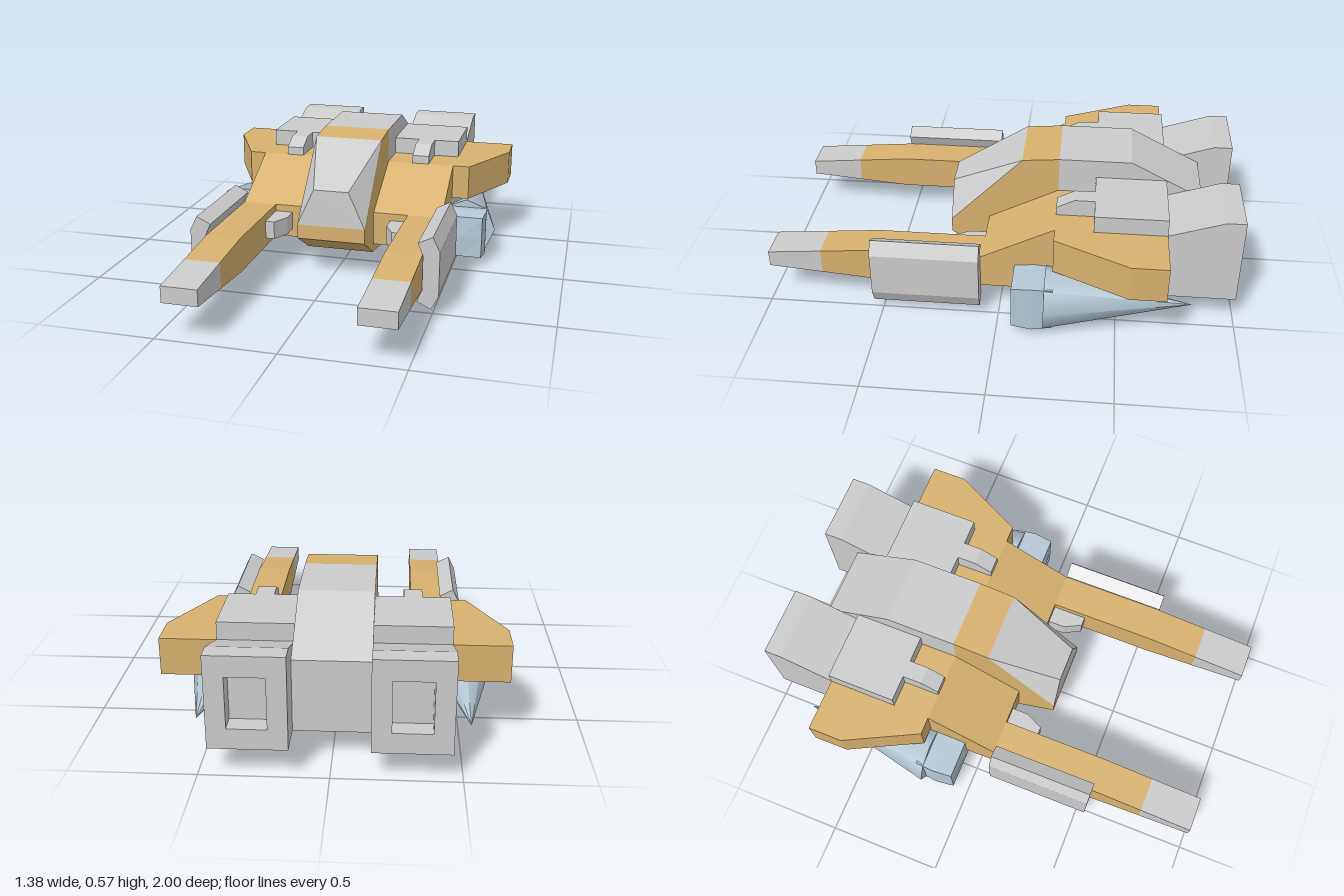
import * as THREE from 'three';
import { ConvexGeometry } from 'three/addons/geometries/ConvexGeometry.js';

const material = (color, flatShading = true) => new THREE.MeshStandardMaterial({ color, flatShading });
const grey = material(0xcccccc);
const tan = material(0xd7b16e);
const blue = material(0xb4c8d4);
const blueSmooth = material(0xb4c8d4, false);

const toShape = (points) => new THREE.Shape(points.map(([a, b]) => new THREE.Vector2(a, b)));
const extrude = (shape, depth) => new THREE.ExtrudeGeometry(shape, { depth, bevelEnabled: false });

function add(parent, name, geometry, mat) {
  const mesh = new THREE.Mesh(geometry, mat);
  mesh.name = name;
  parent.add(mesh);
  return mesh;
}

// Side profile of [z, y] points, spanning x0 to x1
const sideProfile = (points, x0, x1) =>
  extrude(toShape(points), x1 - x0).rotateY(-Math.PI / 2).translate(x1, 0, 0);

// Plan outline of [x, z] points, spanning y0 to y1
const planProfile = (points, y0, y1) =>
  extrude(toShape(points.map(([x, z]) => [x, -z])), y1 - y0).rotateX(-Math.PI / 2).translate(0, y0, 0);

// Front outline of [x, y] points, spanning z0 to z1
const frontProfile = (points, z0, z1) => extrude(toShape(points), z1 - z0).translate(0, 0, z0);

function createFuselage() {
  const g = new THREE.Group();
  g.name = 'fuselage';
  const w = 0.153;
  add(g, 'noseSection', sideProfile([
    [0.245, 0.175], [0.245, 0.24], [-0.07, 0.562], [-0.23, 0.575], [-0.23, 0.035], [0.08, 0.077],
  ], -w, w), tan);
  add(g, 'rearSection', sideProfile([
    [-0.23, 0.035], [-0.23, 0.575], [-0.54, 0.575], [-0.85, 0.415], [-0.85, 0.115], [-0.54, 0.035],
  ], -w, w), grey);
  // Wedge canopy lying on the sloped nose
  const corners = [];
  for (const s of [-1, 1]) {
    corners.push(
      new THREE.Vector3(s * w, 0.562, -0.07),
      new THREE.Vector3(s * w, 0.24, 0.245),
      new THREE.Vector3(s * 0.078, 0.403, 0.24),
    );
  }
  add(g, 'canopy', new ConvexGeometry(corners), grey);
  return g;
}

function createSide() {
  const g = new THREE.Group();
  const x0 = 0.153, x1 = 0.46;

  // Hull beside the fuselage
  add(g, 'shoulder', sideProfile([
    [0.075, 0.115], [0.075, 0.265], [-0.23, 0.42], [-0.23, 0.115],
  ], x0, x1), tan);
  add(g, 'lowerHull', sideProfile([
    [-0.23, 0.115], [-0.23, 0.265], [-0.69, 0.265], [-0.69, 0.115],
  ], x0, x1), grey);
  add(g, 'wing', planProfile([
    [x0, -0.23], [0.535, -0.23], [0.69, -0.54], [0.69, -0.692], [x0, -0.692],
  ], 0.265, 0.42), tan);

  // Deck plate with a forward tab
  add(g, 'deckPlate', sideProfile([
    [-0.39, 0.42], [-0.39, 0.495], [-0.692, 0.495], [-0.692, 0.42],
  ], x0, x1), grey);
  add(g, 'deckTab', sideProfile([
    [-0.23, 0.42], [-0.23, 0.457], [-0.305, 0.495], [-0.39, 0.495], [-0.39, 0.42],
  ], 0.268, 0.345), grey);

  // Engine with a square exhaust opening
  add(g, 'engineFront', sideProfile([
    [-0.69, 0.115], [-0.69, 0.42], [-0.92, 0.497], [-0.92, 0.115],
  ], x0, x1), grey);
  const frame = toShape([[x0, 0.115], [x1, 0.115], [x1, 0.497], [x0, 0.497]]);
  frame.holes.push(toShape([[0.23, 0.2], [0.23, 0.412], [0.383, 0.412], [0.383, 0.2]]));
  add(g, 'exhaustFrame', extrude(frame, 0.08).translate(0, 0, -1), grey);

  // Long front arm, tapering to a grey tip
  const a0 = 0.308;
  add(g, 'arm', sideProfile([
    [0.075, 0.115], [0.075, 0.265], [0.54, 0.265], [0.77, 0.245], [0.77, 0.135], [0.54, 0.115],
  ], a0, x1), tan);
  add(g, 'armTip', sideProfile([
    [0.77, 0.135], [0.77, 0.245], [1, 0.225], [1, 0.155],
  ], a0, x1), grey);
  add(g, 'innerFin', planProfile([
    [a0, 0.075], [a0, 0.225], [0.268, 0.225], [0.23, 0.15], [0.23, 0.075],
  ], 0.153, 0.233), grey);
  add(g, 'armShield', frontProfile([
    [0.5, 0.345], [0.44, 0.315], [0.462, 0.265], [0.462, 0.115],
    [0.44, 0.065], [0.5, 0.035], [0.53, 0.095], [0.53, 0.285],
  ], 0.08, 0.54), grey);

  // Pod under the wing: bulging block and pointed tail
  const pod = new THREE.Group();
  pod.name = 'pod';
  pod.position.set(0.535, 0.135, 0);
  g.add(pod);
  const block = new THREE.BoxGeometry(0.18, 0.19, 0.17, 2, 2, 2);
  const p = block.attributes.position;
  for (let i = 0; i < p.count; i++) {
    const x = p.getX(i), y = p.getY(i), z = p.getZ(i);
    const bulge = Math.abs(z) < 0.01 ? 1.09 : 1;
    p.setXYZ(i, x * bulge, y * bulge, z + (x === 0 && y === 0 ? Math.sign(z) * 0.006 : 0));
  }
  block.computeVertexNormals();
  add(pod, 'podBlock', block.translate(0, 0, -0.15), blue);
  add(pod, 'podTail', new THREE.ConeGeometry(0.135, 0.61, 8)
    .rotateX(-Math.PI / 2).translate(0, 0, -0.505), blueSmooth);
  return g;
}

export function createModel() {
  const model = new THREE.Group();
  model.name = 'spacecraft';
  model.add(createFuselage());
  const left = createSide();
  left.name = 'leftSide';
  const right = createSide();
  right.name = 'rightSide';
  right.scale.x = -1;
  model.add(left, right);
  return model;
}
